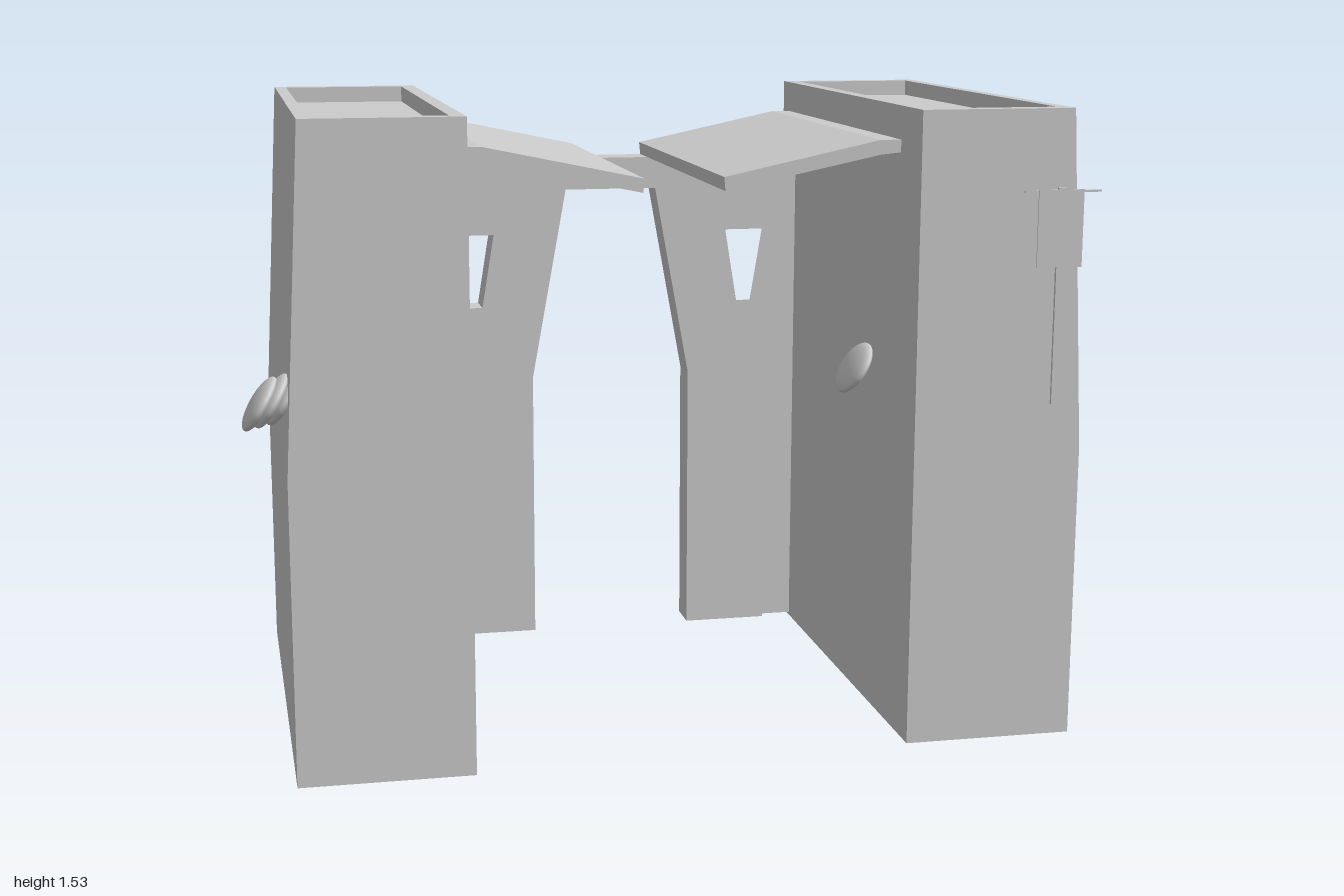
import * as THREE from 'three';

const material = new THREE.MeshStandardMaterial({ color: 0xcccccc, flatShading: true });
const shellMaterial = new THREE.MeshStandardMaterial({ color: 0xcccccc, flatShading: true, side: THREE.DoubleSide });
const smoothMaterial = new THREE.MeshStandardMaterial({ color: 0xcccccc });

const AXIS = 0.035; // x of the symmetry plane between the towers
const BACK = -0.608, FRONT = 0.592;

function add(parent, name, geometry, mat = material) {
  const mesh = new THREE.Mesh(geometry, mat);
  mesh.name = name;
  parent.add(mesh);
  return mesh;
}

function addBox(parent, name, size, position) {
  add(parent, name, new THREE.BoxGeometry(...size)).position.set(...position);
}

function polygon(points, s = 1) {
  return points.map(([x, y]) => new THREE.Vector2(x * s, y));
}

function extrude(shape, z0, z1) {
  return new THREE.ExtrudeGeometry(shape, { depth: z1 - z0, bevelEnabled: false }).translate(0, 0, z0);
}

// Hollow tower, open below: rectangular rings from the foot, over the rim, to the sunken roof
function towerGeometry(s) {
  const rings = [ // y, inner x, outer x, inset in z
    [0, 0.525, 0.94, 0],
    [0.72, 0.525, 0.94, 0],
    [1.53, 0.525, 0.897, 0],
    [1.53, 0.56, 0.868, 0.044],
    [1.49, 0.56, 0.868, 0.044],
  ].map(([y, a, b, inset]) => {
    const [x0, x1] = s > 0 ? [a, b] : [-b, -a];
    const z0 = BACK + inset, z1 = FRONT - inset;
    return [[x0, y, z1], [x1, y, z1], [x1, y, z0], [x0, y, z0]];
  });
  const positions = [];
  const quad = (a, b, c, d) => positions.push(...a, ...b, ...c, ...a, ...c, ...d);
  for (let i = 0; i < rings.length - 1; i++) {
    for (let j = 0; j < 4; j++) {
      const k = (j + 1) % 4;
      quad(rings[i][j], rings[i][k], rings[i + 1][k], rings[i + 1][j]);
    }
  }
  quad(...rings[rings.length - 1]);
  const geometry = new THREE.BufferGeometry();
  geometry.setAttribute('position', new THREE.Float32BufferAttribute(positions, 3));
  geometry.computeVertexNormals();
  return geometry;
}

// Back wall with a tapered gateway and two trapezoid windows
function wallGeometry() {
  const half = [
    [0.145, 1.335], [0.475, 1.413], [0.525, 1.418], [0.525, 0.008], [0.445, 0.008],
    [0.445, 0], [0.22, 0], [0.22, 0.73], [0.125, 1.25],
  ];
  const shape = new THREE.Shape([...polygon(half), ...polygon(half, -1).reverse()]);
  for (const s of [-1, 1]) {
    shape.holes.push(new THREE.Path(polygon([[0.325, 1.13], [0.43, 1.13], [0.397, 0.93], [0.358, 0.93]], s)));
  }
  return extrude(shape, -0.572, -0.477);
}

// Thin domed disc leaning against a wall
function addDisc(parent, x, y, z) {
  const disc = add(parent, 'disc', new THREE.SphereGeometry(1, 24, 16), smoothMaterial);
  disc.scale.set(0.021, 0.07, 0.08);
  disc.rotation.z = -0.56;
  disc.position.set(x, y, z);
}

export function createModel() {
  const model = new THREE.Group();
  model.name = 'gatehouse';

  const building = new THREE.Group();
  building.name = 'building';
  building.position.x = AXIS;
  model.add(building);

  add(building, 'backWall', wallGeometry());
  const canopy = [[0.525, 1.45], [0.475, 1.45], [0.095, 1.37], [0.098, 1.337], [0.475, 1.415], [0.525, 1.42]];
  for (const s of [-1, 1]) {
    const side = s > 0 ? 'left' : 'right';
    add(building, side + 'Tower', towerGeometry(s), shellMaterial);
    add(building, side + 'Canopy', extrude(new THREE.Shape(polygon(canopy, s)), -0.55, 0.44));
  }

  // Hanging banner on the front of the left tower
  const banner = new THREE.Group();
  banner.name = 'banner';
  model.add(banner);
  addBox(banner, 'bannerPole', [0.016, 0.515, 0.008], [0.902, 1.088, 0.599]);
  addBox(banner, 'bannerCloth', [0.112, 0.183, 0.003], [0.9, 1.25, 0.604]);
  addBox(banner, 'bannerCrossbar', [0.19, 0.005, 0.005], [0.905, 1.337, 0.601]);

  // Stacked discs on the outside, a single one inside the passage
  const discs = new THREE.Group();
  discs.name = 'discs';
  model.add(discs);
  for (let i = 0; i < 3; i++) addDisc(discs, -0.957 + i * 0.027, 0.876 + i * 0.006, 0.45);
  addDisc(discs, 0.514, 0.868, 0.25);

  return model;
}
